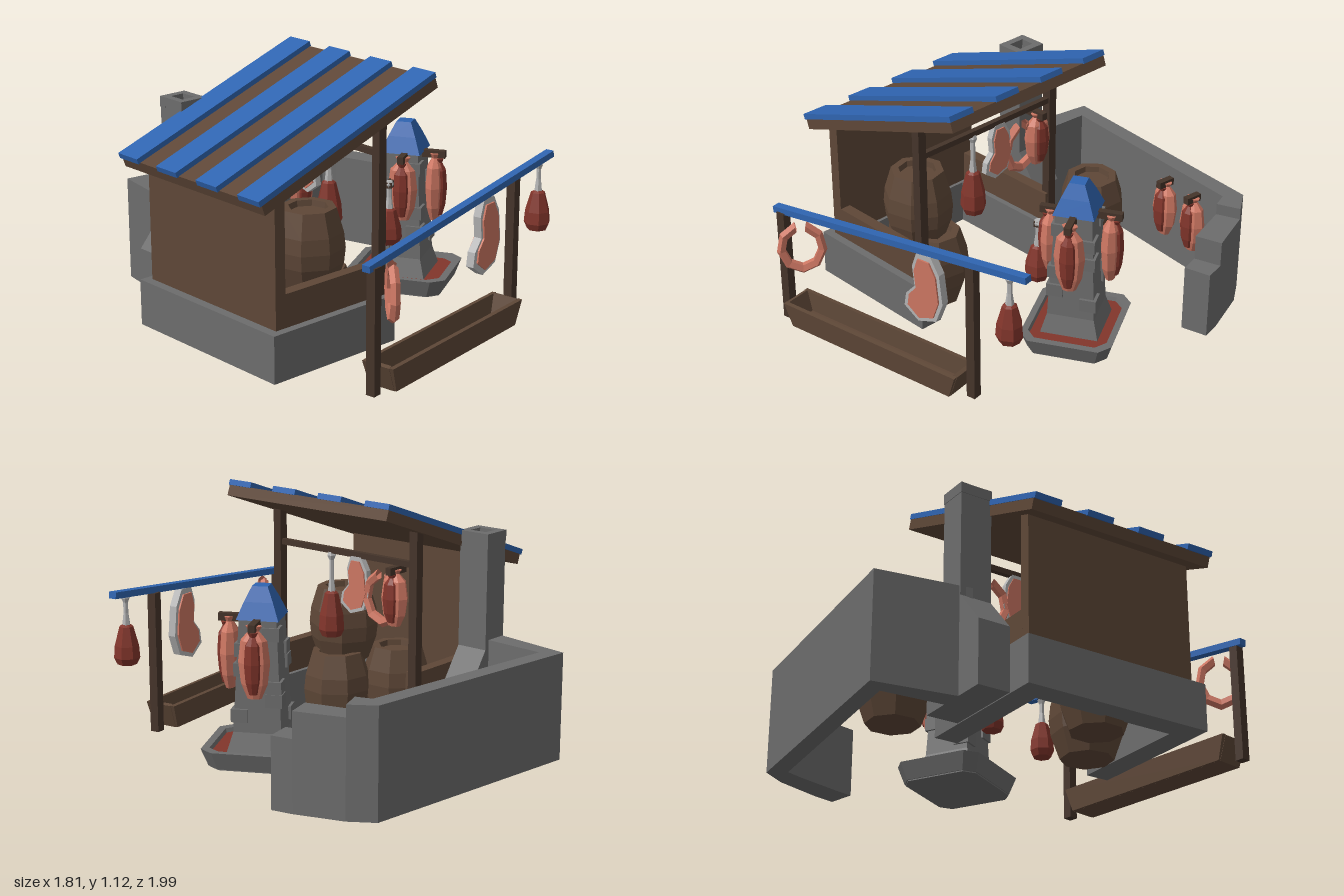
import * as THREE from 'three';

const mat = (color) => new THREE.MeshStandardMaterial({ color, flatShading: true, side: THREE.DoubleSide });
const STONE = mat(0x6c6c6c), WOOD = mat(0x5e4737), DARK = mat(0x45342a), BLUE = mat(0x2f64b0);
const RED = mat(0x82352b), PINK = mat(0xcc7662), PALE = mat(0xb4b4b4);

function add(parent, name, geo, material, x = 0, y = 0, z = 0) {
  const m = new THREE.Mesh(geo, material);
  m.name = name;
  m.position.set(x, y, z);
  parent.add(m);
  return m;
}
function group(parent, name, x = 0, y = 0, z = 0, ry = 0) {
  const g = new THREE.Group();
  g.name = name;
  g.position.set(x, y, z);
  g.rotation.y = ry;
  parent.add(g);
  return g;
}
// box given by its min and max on each axis
function block(parent, name, m, x0, x1, y0, y1, z0, z1) {
  return add(parent, name, new THREE.BoxGeometry(x1 - x0, y1 - y0, z1 - z0), m, (x0 + x1) / 2, (y0 + y1) / 2, (z0 + z1) / 2);
}
const lathe = (pts, sides) => new THREE.LatheGeometry(pts.map(([r, y]) => new THREE.Vector2(r, y)), sides);
const outline = (pts) => new THREE.Shape(pts.map(([x, y]) => new THREE.Vector2(x, y)));
const slab = (pts, depth) => new THREE.ExtrudeGeometry(outline(pts), { depth, bevelEnabled: false }).translate(0, 0, -depth / 2);
// upright prism over a plan outline of [x, z] points
function prism(parent, name, m, plan, y0, y1) {
  const g = new THREE.ExtrudeGeometry(outline(plan.map(([x, z]) => [x, -z])), { depth: y1 - y0, bevelEnabled: false });
  return add(parent, name, g.rotateX(-Math.PI / 2), m, 0, y0, 0);
}
// square frustum, sizes are full side lengths
function frustum(parent, name, m, s0, s1, y0, y1, open = false) {
  const k = Math.SQRT1_2;
  const g = new THREE.CylinderGeometry(s1 * k, s0 * k, y1 - y0, 4, 1, open).rotateY(Math.PI / 4);
  return add(parent, name, g, m, 0, (y0 + y1) / 2, 0);
}

function barrel(parent, x, y, z, ry) {
  const g = group(parent, 'barrel', x, y, z, ry);
  add(g, 'barrelBody', lathe([[0, 0], [0.11, 0], [0.145, 0.1], [0.152, 0.165], [0.145, 0.23], [0.115, 0.33],
    [0.082, 0.33], [0.078, 0.305], [0, 0.305]], 8), WOOD);
}
// hanging goods: the origin is the hook
function ham(parent, x, y, z, length) {
  const g = group(parent, 'ham', x, y, z);
  const b = -length, m = Math.min(0.21, length * 0.6);
  add(g, 'hamMeat', lathe([[0, b], [0.042, b], [0.056, b + 0.03], [0.052, b + m * 0.45], [0.03, b + m * 0.9], [0, b + m]], 7), RED);
  add(g, 'hamBone', lathe([[0.02, b + m * 0.85], [0.011, b + m + 0.04], [0.011, -0.035], [0.02, -0.015], [0.014, 0], [0, 0]], 6), PALE);
}
function salami(parent, x, y, z, ry, length) {
  const g = group(parent, 'salami', x, y, z, ry);
  const body = lathe([[0, -1], [0.03, -1], [0.055, -0.8], [0.066, -0.5], [0.055, -0.2], [0.022, -0.07], [0.034, 0], [0, 0]], 8);
  add(g, 'salamiSkin', body, PINK).scale.set(1, length, 0.65);
  add(g, 'salamiCut', body, RED, 0, -length * 0.08, 0.018).scale.set(0.62, length * 0.85, 0.55);
  block(g, 'peg', DARK, -0.014, 0.014, -0.02, 0.012, -0.06, 0.045);
}
function steak(parent, x, y, z, ry, s) {
  const g = group(parent, 'steak', x, y, z, ry);
  const pts = [[-0.03, 0], [0.04, 0], [0.08, -0.07], [0.095, -0.2], [0.06, -0.29], [-0.03, -0.32], [-0.1, -0.27],
    [-0.09, -0.21], [-0.045, -0.16], [-0.055, -0.07]];
  const c = [0.012, -0.17];
  add(g, 'steakFat', slab(pts, 0.035), PALE).scale.setScalar(s);
  add(g, 'steakMeat', slab(pts.map(([a, b]) => [c[0] + (a - c[0]) * 0.8, c[1] + (b - c[1]) * 0.86]), 0.05), PINK).scale.setScalar(s);
}
function sausageRing(parent, x, y, z, ry, s) {
  const g = group(parent, 'sausageRing', x, y, z, ry);
  const arc = new THREE.TorusGeometry(0.085, 0.02, 5, 8, Math.PI * 1.84).rotateZ(Math.PI * 0.58);
  add(g, 'sausage', arc, PINK).scale.set(s, s * 1.2, s);
}

function buildHut(root) {
  const hut = group(root, 'hut', -0.27, 0, 0.215, 0.6435);
  // stone footing
  block(hut, 'sideFooting', STONE, -0.395, -0.29, 0.03, 0.23, -0.42, 0.425);
  block(hut, 'frontFooting', STONE, -0.29, 0.255, 0.03, 0.23, 0.32, 0.425);
  block(hut, 'backFooting', STONE, -0.29, 0.255, 0.03, 0.23, -0.42, -0.315);
  // wooden walls, counters and posts
  block(hut, 'sideWall', WOOD, -0.355, -0.305, 0.23, 0.78, -0.39, 0.39);
  for (const s of [-1, 1]) {
    add(hut, 'counter', new THREE.BoxGeometry(0.54, 0.14, 0.05), WOOD, -0.045, 0.3, s * 0.365);
    add(hut, 'roofPost', new THREE.BoxGeometry(0.04, 0.76, 0.04), DARK, 0.21, 0.6, s * 0.375);
  }
  block(hut, 'hangingBeam', DARK, 0.198, 0.222, 0.815, 0.84, -0.375, 0.375);
  // striped roof
  const roof = group(hut, 'roof', 0, 0.942, 0);
  roof.rotation.z = 0.345;
  block(roof, 'roofBoards', WOOD, -0.485, 0.49, -0.052, -0.005, -0.432, 0.432);
  for (let i = 0; i < 4; i++) {
    add(roof, 'roofStripe', new THREE.BoxGeometry(0.99, 0.024, 0.124), BLUE, 0, 0.005, -0.372 + i * 0.248);
  }
  // chimney with sloping shoulders
  add(hut, 'chimney', slab([[-0.28, 0.03], [0.08, 0.03], [0.08, 0.3], [-0.025, 0.45], [-0.025, 0.9], [-0.15, 0.9], [-0.15, 0.45],
    [-0.28, 0.3]], 0.14), STONE, 0, 0, -0.495);
  const cap = group(hut, 'chimneyTop', -0.0875, 0, -0.495);
  for (const s of [-1, 1]) {
    block(cap, 'chimneyRim', STONE, -0.065, 0.065, 0.9, 0.945, s * 0.055 - 0.017, s * 0.055 + 0.017);
    block(cap, 'chimneyRim', STONE, s * 0.048 - 0.016, s * 0.048 + 0.016, 0.9, 0.945, -0.04, 0.04);
  }
  // goods on the beam
  ham(hut, 0.21, 0.82, 0.08, 0.37);
  steak(hut, 0.21, 0.82, -0.06, Math.PI / 2, 0.78);
  sausageRing(hut, 0.21, 0.66, -0.2, Math.PI / 2, 1);
  salami(hut, 0.23, 0.8, -0.28, Math.PI / 2, 0.24);
}

function buildYardWall(root) {
  const yard = group(root, 'yardWall');
  prism(yard, 'longWall', STONE, [[-0.70, -0.1], [-0.885, -0.46], [0.025, -1], [0.025, -0.91], [-0.79, -0.435], [-0.61, -0.15]], 0.03, 0.49);
  // stepped end
  prism(yard, 'wallStep', STONE, [[0.025, -1], [0.14, -0.96], [0.085, -0.87], [0.025, -0.91]], 0.03, 0.49);
  prism(yard, 'wallStep', STONE, [[0.14, -0.96], [0.32, -0.84], [0.25, -0.745], [0.085, -0.87]], 0.03, 0.44);
  prism(yard, 'wallStep', STONE, [[0.32, -0.84], [0.39, -0.78], [0.315, -0.69], [0.25, -0.745]], 0.03, 0.33);
  salami(yard, -0.235, 0.43, -0.72, 0.53, 0.26);
  salami(yard, -0.085, 0.43, -0.81, 0.53, 0.26);
}

function buildSmoker(root) {
  const t = group(root, 'smoker', 0.32, 0, -0.235, -0.42);
  // stone tray holding embers
  const tray = group(t, 'tray');
  const rim = [[-0.225, -0.15], [-0.17, -0.195], [0.17, -0.195], [0.225, -0.15], [0.225, 0.15], [0.17, 0.195], [-0.17, 0.195], [-0.225, 0.15]];
  const shape = outline(rim);
  shape.holes.push(new THREE.Path(rim.map(([x, y]) => new THREE.Vector2(x * 0.86, y * 0.86))));
  const rimGeo = new THREE.ExtrudeGeometry(shape, { depth: 0.075, bevelEnabled: false }).rotateX(-Math.PI / 2);
  const p = rimGeo.attributes.position;
  for (let i = 0; i < p.count; i++) {
    if (p.getY(i) < 0.01) p.setXYZ(i, p.getX(i) * 0.88, 0, p.getZ(i) * 0.88);
  }
  add(tray, 'trayRim', rimGeo, STONE, 0, 0.05, 0);
  prism(tray, 'trayBottom', STONE, rim.map(([x, z]) => [x * 0.86, z * 0.86]), 0.045, 0.07);
  prism(tray, 'embers', RED, rim.map(([x, z]) => [x * 0.87, z * 0.87]), 0.07, 0.108);
  // tapering stack with raised bricks and a blue hood
  frustum(t, 'stackFoot', STONE, 0.25, 0.2, 0.1, 0.19);
  frustum(t, 'stack', STONE, 0.2, 0.155, 0.19, 0.66);
  for (let i = 0; i < 6; i++) {
    const h = 0.1 - i * 0.0035;
    const sx = i % 2 ? 1 : -1, sz = i % 4 < 2 ? 1 : -1;
    add(t, 'brick', new THREE.BoxGeometry(0.07, 0.055, 0.07), STONE, sx * (h - 0.027), 0.24 + i * 0.07, sz * (h - 0.027));
    add(t, 'brick', new THREE.BoxGeometry(0.07, 0.055, 0.07), STONE, -sx * (h - 0.027), 0.26 + i * 0.068, -sz * (h - 0.027));
  }
  frustum(t, 'hood', BLUE, 0.175, 0.12, 0.655, 0.725);
  frustum(t, 'hoodTop', BLUE, 0.12, 0.065, 0.725, 0.785);
  // goods around the stack
  salami(t, 0.135, 0.65, 0, Math.PI / 2, 0.3);
  salami(t, 0, 0.65, -0.14, Math.PI, 0.3);
  salami(t, 0.02, 0.65, 0.11, 0, 0.28);
  ham(t, -0.02, 0.56, 0.175, 0.28);
  block(t, 'peg', DARK, -0.034, -0.006, 0.53, 0.555, 0.06, 0.19);
}

function buildRail(root) {
  // rail runs along local x
  const g = group(root, 'meatRail', 0.445, 0, 0.515, 0.805);
  const bar = block(g, 'rail', BLUE, -0.65, 0.65, -0.014, 0.014, -0.018, 0.018);
  bar.position.y = 0.632;
  bar.rotation.z = 0.108;
  for (const [x, z, top] of [[-0.603, 0.005, 0.56], [0.375, -0.008, 0.66]]) {
    block(g, 'railPost', DARK, x - 0.02, x + 0.02, 0.045, top, z - 0.02, z + 0.02);
  }
  // open trough with sloping ends
  const trough = group(g, 'trough', -0.115, 0, 0);
  for (const s of [-1, 1]) {
    const side = add(trough, 'troughSide', slab([[-0.42, 0.05], [0.42, 0.05], [0.455, 0.155], [-0.455, 0.155]], 0.018), WOOD, 0, 0, s * 0.052);
    side.rotation.x = s * 0.08;
    add(trough, 'troughEnd', new THREE.BoxGeometry(0.018, 0.11, 0.11), WOOD, s * 0.43, 0.103, 0).rotation.z = -s * 0.32;
  }
  block(trough, 'troughFloor', WOOD, -0.42, 0.42, 0.05, 0.07, -0.052, 0.052);
  // goods on the rail
  steak(g, 0.15, 0.635, 0.0, 0, 1);
  ham(g, 0.56, 0.69, 0, 0.3);
  sausageRing(root, 0.11, 0.43, 0.885, Math.PI / 2, 1);
}

export function createModel() {
  const root = new THREE.Group();
  root.name = 'butcherStall';
  buildHut(root);
  buildYardWall(root);
  buildSmoker(root);
  buildRail(root);
  // barrels: two under the roof, one stacked on them, one in the yard
  barrel(root, -0.4, 0.005, 0.36, 0.3);
  barrel(root, -0.115, 0.005, 0.32, 0.1);
  barrel(root, -0.16, 0.285, 0.38, 0.5);
  barrel(root, -0.447, 0.035, -0.426, 0.2);
  return root;
}
